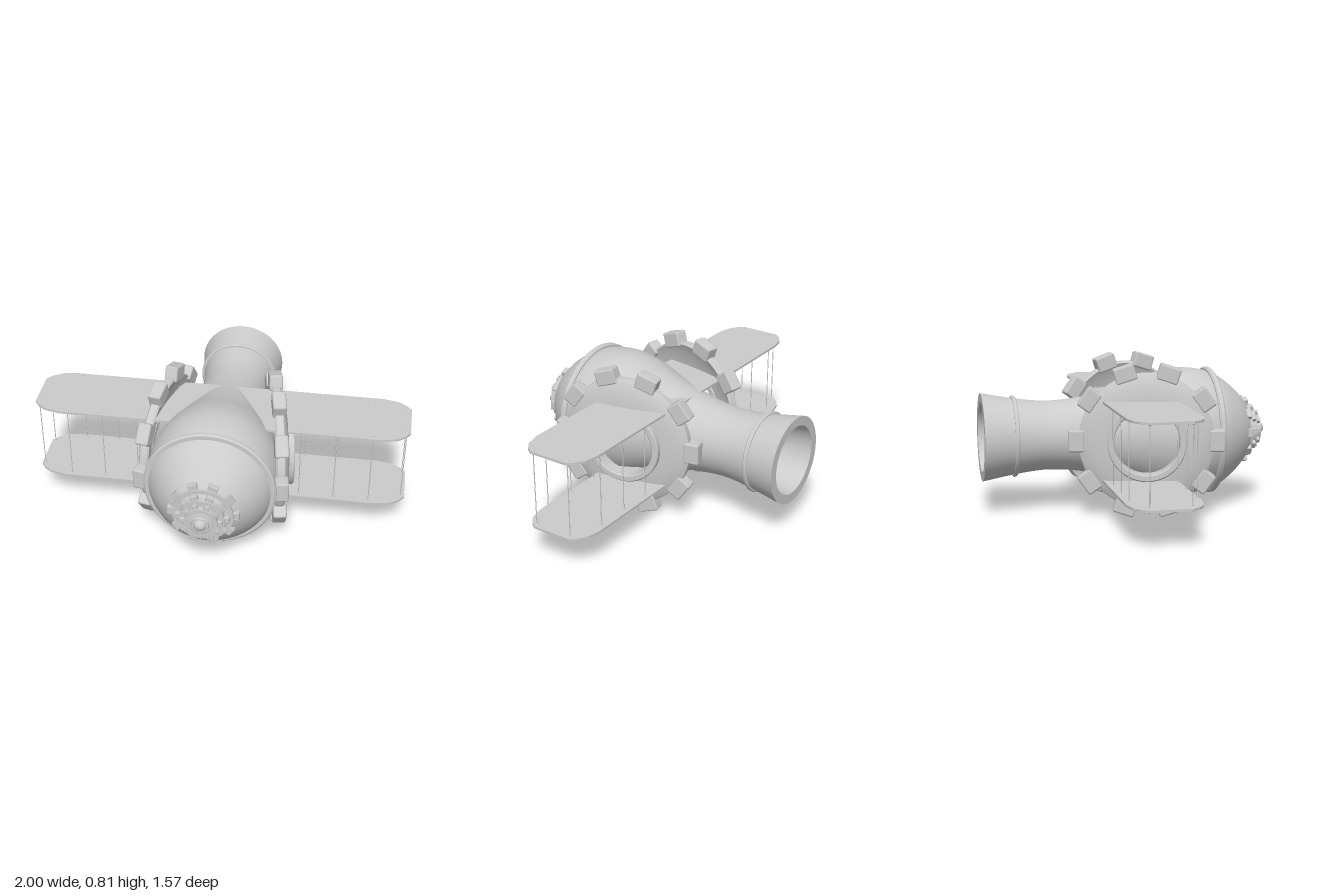
import * as THREE from 'three';
import { toCreasedNormals } from 'three/addons/utils/BufferGeometryUtils.js';
import { RoundedBoxGeometry } from 'three/addons/geometries/RoundedBoxGeometry.js';

const AXIS_Y = 0.406;
const grey = new THREE.MeshStandardMaterial({ color: 0xcccccc });
const v2 = ([x, y]) => new THREE.Vector2(x, y);

function add(parent, name, geometry, x = 0, y = 0, z = 0) {
  const mesh = new THREE.Mesh(geometry, grey);
  mesh.name = name;
  mesh.position.set(x, y, z);
  parent.add(mesh);
  return mesh;
}

// Lathe of [radius, height] points with crisp edges
const turned = (points, segments = 64) =>
  toCreasedNormals(new THREE.LatheGeometry(points.map(v2), segments), 0.5);

// Ring of teeth around the local x axis
function addTeeth(parent, count, inner, outer, width, thickness, bevel) {
  const geometry = new RoundedBoxGeometry(thickness, outer - inner, width, 1, bevel);
  geometry.translate(0, (inner + outer) / 2, 0);
  for (let i = 0; i < count; i++) {
    const tooth = add(parent, 'tooth', geometry);
    tooth.rotation.x = Math.PI / 2 + (i / count) * Math.PI * 2;
  }
}

// Hollow-tailed fuselage with its bands, turned about z
function buildBody(root) {
  const curve = new THREE.SplineCurve([
    [0.235, -0.785], [0.205, -0.62], [0.186, -0.46], [0.192, -0.32], [0.215, -0.18],
    [0.265, 0], [0.322, 0.16], [0.346, 0.3], [0.325, 0.455], [0.255, 0.57],
    [0.16, 0.66], [0.08, 0.7], [0, 0.71],
  ].map(v2));
  const outer = curve.getPoints(60).map((p) => [Math.max(p.x, 0), p.y]);
  const cavity = [[0, -0.4], [0.145, -0.4], [0.15, -0.5], [0.185, -0.785]];
  add(root, 'body', turned([...cavity, ...outer]).rotateX(Math.PI / 2), 0, AXIS_Y, 0);

  const band = (name, r, z, width, height) => {
    const h = width / 2, c = width * 0.25;
    const g = turned([
      [r - height, -h], [r - c, -h], [r, -h + c], [r, h - c], [r - c, h], [r - height, h],
    ]);
    add(root, name, g.rotateX(Math.PI / 2), 0, AXIS_Y, z);
  };
  band('frontBand', 0.346, 0.457, 0.034, 0.035);
  band('tailBand', 0.217, -0.613, 0.022, 0.03);
}

// Stepped toothed discs and rounded tip on the nose
function buildNose(root) {
  const nose = new THREE.Group();
  nose.name = 'nose';
  nose.position.y = AXIS_Y;
  root.add(nose);
  const tiers = [
    [0.155, 0.183, 0.655, 0.03, 0.05],
    [0.115, 0.14, 0.693, 0.026, 0.038],
    [0.085, 0.107, 0.728, 0.02, 0.028],
  ];
  for (const [disc, outer, z, thickness, width] of tiers) {
    const gear = new THREE.Group();
    gear.name = 'noseGear';
    gear.position.z = z;
    gear.rotation.y = -Math.PI / 2;
    nose.add(gear);
    const g = new THREE.CylinderGeometry(disc, disc, thickness + 0.015, 48);
    add(gear, 'noseDisc', g.rotateZ(-Math.PI / 2));
    addTeeth(gear, 10, disc - 0.02, outer, width, thickness, 0.004);
  }
  const hub = turned([[0.068, 0.72], [0.066, 0.748], [0.045, 0.752], [0.042, 0.76], [0, 0.76]], 32);
  add(nose, 'noseHub', hub.rotateX(Math.PI / 2));
  add(nose, 'noseTip', new THREE.SphereGeometry(0.035, 24, 16), 0, 0, 0.748);
}

// Dished, open-centred cogwheel angled along each flank
function buildSideGear(root, side) {
  const tilt = 0.2;
  const gear = new THREE.Group();
  gear.name = side > 0 ? 'leftGear' : 'rightGear';
  gear.position.set(side * 0.293, 0.409, 0.05);
  gear.rotation.y = side > 0 ? tilt : Math.PI - tilt;
  root.add(gear);
  const disc = turned([
    [0.205, 0.015], [0.28, 0.004], [0.345, -0.026], [0.355, -0.018],
    [0.355, 0.018], [0.345, 0.026], [0.28, 0.045], [0.205, 0.055], [0.19, 0.055],
  ]);
  add(gear, 'gearDisc', disc.rotateZ(-Math.PI / 2));
  const rim = turned([
    [0.17, 0.01], [0.2, 0.01], [0.206, 0.016], [0.206, 0.08], [0.2, 0.086],
    [0.175, 0.086], [0.17, 0.081], [0.17, 0.01],
  ]);
  add(gear, 'hubRing', rim.rotateZ(-Math.PI / 2));
  addTeeth(gear, 10, 0.325, 0.41, 0.115, 0.072, 0.01);
}

// Two full-span wings with clipped tips, joined by thin wires
function buildWings(root) {
  const half = [
    [0.85, 0.2], [0.935, 0.18], [0.975, 0.15], [1, 0.115],
    [1, -0.1], [0.97, -0.135], [0.925, -0.165], [0.85, -0.18],
  ];
  const mirrored = half.map(([x, z]) => [-x, z]).reverse();
  const shape = new THREE.Shape([...half, ...mirrored].map(v2));
  const wing = new THREE.ExtrudeGeometry(shape, { depth: 0.012, bevelEnabled: false });
  wing.translate(0, 0, -0.006).rotateX(Math.PI / 2);
  const levels = [0.197, 0.613];
  levels.forEach((y, i) => add(root, i ? 'upperWing' : 'lowerWing', wing, 0, y, 0));

  const spots = [[0.98, 0.115], [0.98, -0.095]];
  for (const x of [0.438, 0.623, 0.81]) spots.push([x, 0.182], [x, -0.158]);
  const wire = new THREE.CylinderGeometry(0.0025, 0.0025, levels[1] - levels[0], 8);
  const stud = new THREE.SphereGeometry(0.011, 12, 8).scale(1, 1.2, 1);
  for (const side of [1, -1]) {
    for (const [x, z] of spots) {
      add(root, 'wire', wire, side * x, (levels[0] + levels[1]) / 2, z);
      for (const y of levels) add(root, 'stud', stud, side * x, y, z);
    }
  }
}

export function createModel() {
  const root = new THREE.Group();
  root.name = 'biplane';
  buildBody(root);
  buildNose(root);
  for (const side of [1, -1]) buildSideGear(root, side);
  buildWings(root);
  return root;
}
